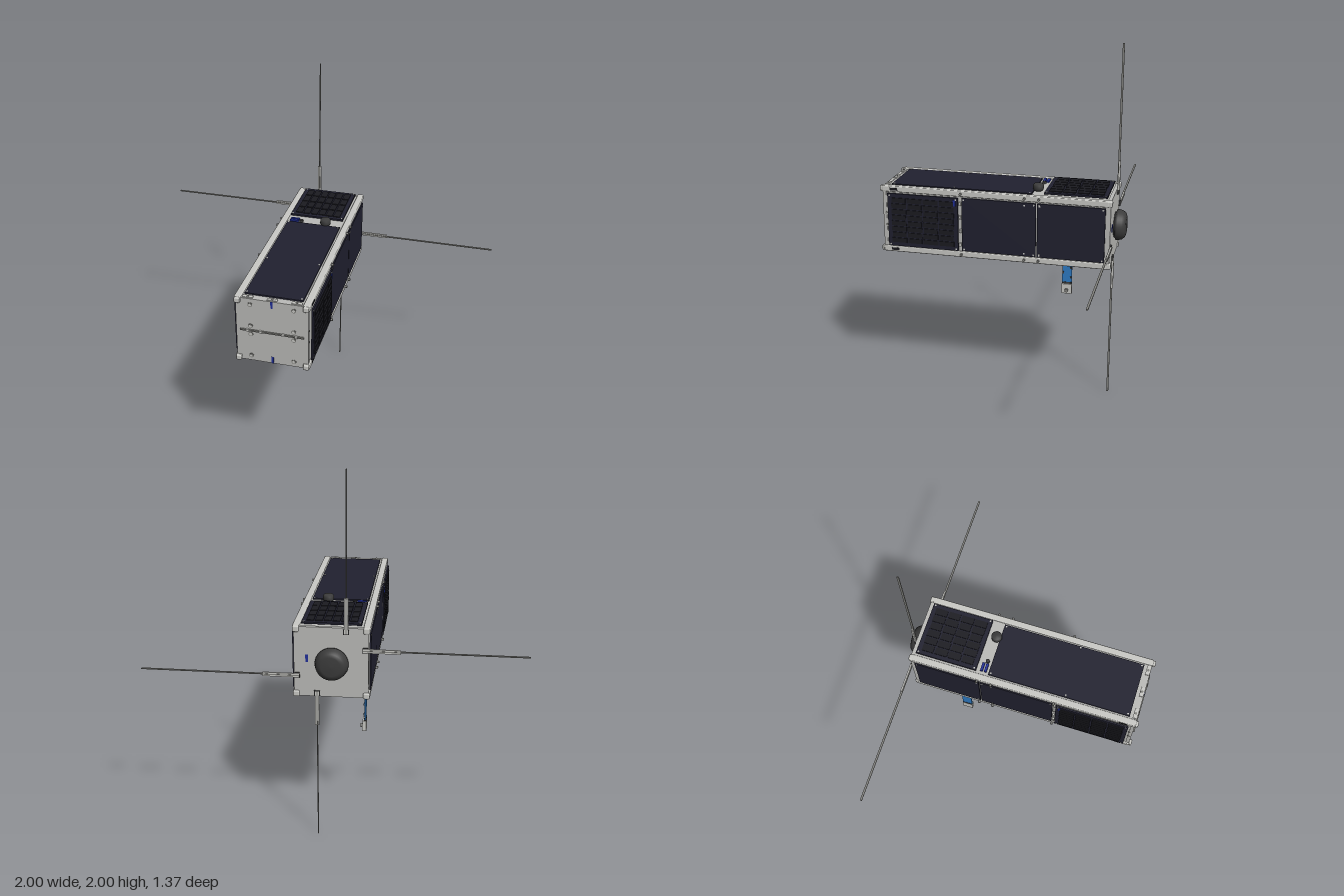
import * as THREE from 'three';
import { RoundedBoxGeometry } from 'three/addons/geometries/RoundedBoxGeometry.js';

const mat = (name, color) => {
  const m = new THREE.MeshStandardMaterial({ color });
  m.name = name;
  return m;
};

export function createModel() {
  const M = {
    alu: mat('aluminium', 0xcacac6),
    plate: mat('plate grey', 0xbcbcb9),
    steel: mat('antenna steel', 0x83837f),
    solar: mat('solar navy', 0x212130),
    cell: mat('cell black', 0x1b1b21),
    rubber: mat('dark cover', 0x3c3c3c),
    blue: mat('circuit blue', 0x2f7cc6),
    navy: mat('connector blue', 0x22309a),
  };
  const model = new THREE.Group();
  model.name = 'satellite';
  const CY = 1.005, HX = 0.2, HY = 0.195;

  const add = (parent, name, geo, m, x, y, z) => {
    const mesh = new THREE.Mesh(geo, m);
    mesh.name = name;
    mesh.position.set(x, y, z);
    parent.add(mesh);
    return mesh;
  };
  const box = (p, name, m, w, h, d, x, y, z) => add(p, name, new THREE.BoxGeometry(w, h, d), m, x, y, z);
  const cyl = (p, name, m, r, h, x, y, z, alongZ = false) => {
    const c = add(p, name, new THREE.CylinderGeometry(r, r, h, 20), m, x, y, z);
    if (alongZ) c.rotation.x = Math.PI / 2;
    return c;
  };

  // Core box, end plates and corner rails
  box(model, 'core', M.plate, 0.38, 0.374, 1.26, 0, CY, 0.025);
  box(model, 'frontPlate', M.plate, 0.385, 0.38, 0.02, 0, CY, 0.657);
  box(model, 'backPlate', M.plate, 0.385, 0.38, 0.02, 0, CY, -0.612);
  for (const sx of [-1, 1]) for (const sy of [-1, 1]) {
    const x = sx * (HX - 0.018), y = CY + sy * (HY - 0.017);
    add(model, 'rail', new RoundedBoxGeometry(0.036, 0.034, 1.28, 2, 0.006), M.alu, x, y, 0.03);
    add(model, 'railFoot', new RoundedBoxGeometry(0.03, 0.03, 0.03, 2, 0.006), M.alu, x, y, 0.668);
    add(model, 'railFoot', new RoundedBoxGeometry(0.034, 0.034, 0.03, 2, 0.008), M.alu, x, y, -0.615);
  }

  // Each long face gets a frame whose local +y points outward
  const face = (name, angle) => {
    const g = new THREE.Group();
    g.name = name;
    g.position.y = CY;
    g.rotation.z = angle;
    model.add(g);
    return g;
  };
  const screws = (g, w, z0, z1, y) => {
    for (const x of [-w, w]) for (const z of [z0, z1]) cyl(g, 'panelScrew', M.alu, 0.005, 0.004, x, y, z);
  };
  // Plain solar panel between z0 and z1, top surface at height y
  const panel = (g, z0, z1, y, hw = 0.155, t = 0.008) => {
    box(g, 'solarPanel', M.solar, hw * 2, t, z1 - z0, 0, y - t / 2, (z0 + z1) / 2);
    screws(g, hw - 0.01, z0 + 0.012, z1 - 0.012, y);
  };
  // Solar panel covered with raised cells
  const cellPanel = (g, z0, z1, y, nx, nz, hw = 0.155) => {
    panel(g, z0, z1, y, hw, 0.01);
    const dx = (hw * 2 - 0.04) / nx, dz = (z1 - z0 - 0.04) / nz;
    for (let i = 0; i < nx; i++) for (let j = 0; j < nz; j++) {
      const inset = (i + j) % 3 === 0 ? 0.012 : 0.006;
      box(g, 'solarCell', M.cell, dx - 0.007, 0.005, dz - inset,
        -hw + 0.02 + (i + 0.5) * dx, y + 0.002, z0 + 0.02 + (j + 0.5) * dz);
    }
  };

  // Left and right faces
  for (const s of [-1, 1]) {
    const g = face('sideFace', -s * Math.PI / 2);
    cellPanel(g, 0.225, 0.635, 0.209, 8, 4);
    panel(g, -0.215, 0.205, 0.203);
    panel(g, -0.595, -0.222, 0.203);
    for (let i = 0; i < 4; i++) box(g, 'hingeTab', M.alu, 0.02, 0.012, 0.012, -0.12 + i * 0.08, 0.198, 0.215);
    for (const x of [-0.14, 0.14]) for (const z of [-0.15, -0.235]) cyl(g, 'panelScrew', M.alu, 0.005, 0.004, x, 0.203, z);
    box(g, 'panelConnector', M.navy, 0.035, 0.006, 0.014, -s * 0.125, 0.21, 0.245);
    for (const x of [-0.035, 0.035]) cyl(g, 'faceScrew', M.steel, 0.007, 0.006, x, 0.191, 0.65);
    for (const x of [-0.178, 0.178]) {
      box(g, 'railSwitch', M.cell, 0.014, 0.004, 0.045, x, 0.2, 0.6);
      for (const z of [-0.23, -0.15, 0.21]) cyl(g, 'railScrew', M.steel, 0.007, 0.02, x, 0.203, z);
    }
  }

  // Top face
  const top = face('topFace', 0);
  panel(top, -0.18, 0.625, 0.196);
  cellPanel(top, -0.598, -0.25, 0.207, 6, 4);
  screws(top, 0.145, 0.262, 0.262, 0.197);
  for (const z of [-0.222, -0.2]) box(top, 'blueConnector', M.navy, 0.05, 0.012, 0.014, -0.12, 0.192, z);
  cyl(top, 'smallPort', M.rubber, 0.011, 0.014, -0.08, 0.192, -0.205);
  for (const x of [-0.13, 0, 0.13]) {
    box(top, 'frontTab', M.alu, 0.055, 0.008, 0.02, x, 0.191, 0.652);
    cyl(top, 'faceScrew', M.steel, 0.007, 0.004, x, 0.195, 0.652);
  }

  // Bottom face: panels at the front, open equipment bay at the back
  const bottom = face('bottomFace', Math.PI);
  panel(bottom, 0.275, 0.635, 0.196);
  cellPanel(bottom, -0.135, 0.2, 0.195, 6, 4);
  box(bottom, 'panelBridge', M.alu, 0.3, 0.008, 0.03, 0, 0.19, 0.238);
  box(bottom, 'bayBoard', M.rubber, 0.24, 0.004, 0.14, 0, 0.188, -0.51);
  cyl(bottom, 'sensorBase', M.alu, 0.035, 0.02, -0.09, 0.198, -0.47);
  cyl(bottom, 'sensorLens', M.rubber, 0.02, 0.006, -0.09, 0.209, -0.47);
  for (const z of [-0.42, -0.55]) for (const x of [-0.1, 0.1]) cyl(bottom, 'baySpacer', M.alu, 0.009, 0.012, x, 0.191, z);

  // Round knobs above and below
  const knobProfile = [[0, 0], [0.025, 0], [0.03, 0.012], [0.03, 0.03], [0.024, 0.038], [0, 0.04]]
    .map(p => new THREE.Vector2(...p));
  const knob = new THREE.LatheGeometry(knobProfile, 24);
  add(model, 'topKnob', knob, M.rubber, 0.065, 1.195, -0.2);
  add(model, 'bottomKnob', knob, M.rubber, -0.02, 0.813, -0.2).rotation.x = Math.PI;

  // Rear dome
  const domeProfile = [[0.068, 0], [0.075, 0.008], [0.086, 0.013], [0.087, 0.024], [0.081, 0.046],
    [0.068, 0.062], [0.05, 0.068], [0, 0.07]].map(p => new THREE.Vector2(...p));
  add(model, 'rearDome', new THREE.LatheGeometry(domeProfile, 40), M.rubber, -0.005, CY, -0.62).rotation.x = -Math.PI / 2;
  box(model, 'rearConnector', M.navy, 0.014, 0.04, 0.006, 0.125, CY + 0.02, -0.623);

  // Four blade antennas, one leaving each edge of the rear plate
  const antenna = (angle, x, y, length) => {
    const g = new THREE.Group();
    g.name = 'antenna';
    g.position.set(x, y, -0.625);
    g.rotation.z = angle;
    box(g, 'antennaBlade', M.steel, 0.005, length, 0.011, 0, length / 2, 0);
    box(g, 'antennaHolder', M.alu, 0.021, 0.19, 0.009, 0, 0.06, -0.003);
    box(g, 'antennaRib', M.steel, 0.006, 0.19, 0.012, 0, 0.06, -0.003);
    box(g, 'antennaClamp', M.rubber, 0.03, 0.025, 0.012, 0, -0.025, 0);
    model.add(g);
  };
  antenna(0, -0.078, 1.2, 0.8);
  antenna(Math.PI, 0.073, 0.81, 0.81);
  antenna(Math.PI / 2, -0.2, 1.078, 0.8);
  antenna(-Math.PI / 2, 0.2, 0.93, 0.8);

  // Front plate details
  for (const x of [-0.115, 0.115]) for (const y of [1.16, 1.03, 0.98, 0.845]) {
    cyl(model, 'boltRing', M.steel, 0.013, 0.004, x, y, 0.667, true);
    cyl(model, 'bolt', M.alu, 0.008, 0.006, x, y, 0.668, true);
  }
  box(model, 'frontBar', M.steel, 0.34, 0.008, 0.012, 0, CY, 0.67);
  for (const x of [-0.13, -0.06, 0.06, 0.13]) box(model, 'barClip', M.alu, 0.012, 0.014, 0.014, x, CY, 0.67);
  for (const y of [1.175, 0.835]) box(model, 'frontConnector', M.navy, 0.012, 0.04, 0.008, 0, y, 0.665);

  // Deployed blue circuit arm with its grey tip
  box(model, 'armRoot', M.blue, 0.28, 0.008, 0.058, -0.015, 0.812, -0.335);
  box(model, 'arm', M.blue, 0.008, 0.25, 0.058, -0.154, 0.69, -0.335);
  for (let i = 0; i < 7; i++) {
    box(model, 'armChip', M.rubber, 0.006, 0.012, 0.01, -0.149, 0.6 + i * 0.03, i % 2 ? -0.312 : -0.358);
  }
  box(model, 'armSeam', M.rubber, 0.012, 0.01, 0.058, -0.154, 0.565, -0.335);
  box(model, 'armTip', M.alu, 0.022, 0.06, 0.06, -0.15, 0.53, -0.335);
  const sensor = cyl(model, 'tipSensor', M.steel, 0.011, 0.014, -0.134, 0.522, -0.335);
  sensor.rotation.z = Math.PI / 2;

  return model;
}
